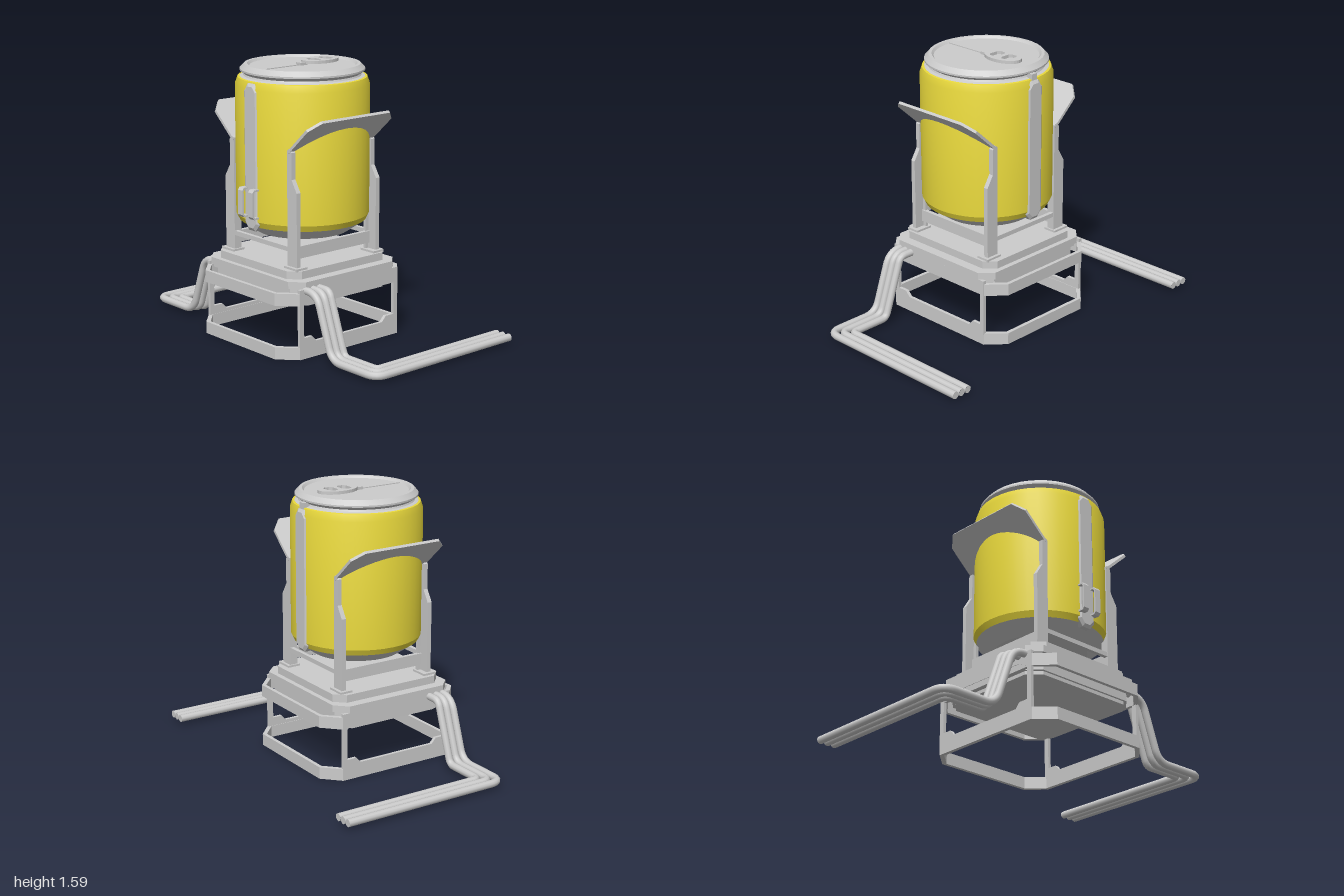
import * as THREE from 'three';
import { toCreasedNormals } from 'three/addons/utils/BufferGeometryUtils.js';

const grey = new THREE.MeshStandardMaterial({ color: 0xcccccc });
const yellow = new THREE.MeshStandardMaterial({ color: 0xe8d83c });
const V = (x, y, z) => new THREE.Vector3(x, y, z);

function add(parent, name, geometry, material = grey) {
  const mesh = new THREE.Mesh(geometry, material);
  mesh.name = name;
  parent.add(mesh);
  return mesh;
}

function box(parent, name, x0, x1, y0, y1, z0, z1) {
  const m = add(parent, name, new THREE.BoxGeometry(x1 - x0, y1 - y0, z1 - z0));
  m.position.set((x0 + x1) / 2, (y0 + y1) / 2, (z0 + z1) / 2);
  return m;
}

const shapeOf = (pts) => new THREE.Shape(pts.map(([x, y]) => new THREE.Vector2(x, y)));

// Rectangle with chamfered corners, half sizes a and b
const octagon = (a, b, ca, cb) => [
  [-a, -b + cb], [-a + ca, -b], [a - ca, -b], [a, -b + cb],
  [a, b - cb], [a - ca, b], [-a + ca, b], [-a, b - cb]];

const extrude = (shape, depth, options = {}) =>
  new THREE.ExtrudeGeometry(shape, { depth, bevelEnabled: false, curveSegments: 16, ...options });

// Horizontal slab from an outline in x and z, with an optional opening
function slab(parent, name, y0, y1, outline, hole) {
  const shape = shapeOf(outline);
  if (hole) shape.holes.push(shapeOf(hole));
  const g = extrude(shape, y1 - y0).rotateX(-Math.PI / 2).translate(0, y0, 0);
  return add(parent, name, g);
}

function lathe(parent, name, pts, material) {
  const g = new THREE.LatheGeometry(pts.map(([r, y]) => new THREE.Vector2(r, y)), 40);
  return add(parent, name, toCreasedNormals(g, 0.4), material);
}

// Path through points with rounded corners
function roundedPath(pts, radius) {
  const path = new THREE.CurvePath();
  let from = pts[0];
  for (let i = 1; i < pts.length - 1; i++) {
    const p = pts[i];
    const a = p.clone().add(pts[i - 1].clone().sub(p).setLength(radius));
    const b = p.clone().add(pts[i + 1].clone().sub(p).setLength(radius));
    path.add(new THREE.LineCurve3(from, a));
    path.add(new THREE.QuadraticBezierCurve3(a, p, b));
    from = b;
  }
  path.add(new THREE.LineCurve3(from, pts[pts.length - 1]));
  return path;
}

function buildCan() {
  const can = new THREE.Group();
  can.name = 'can';
  lathe(can, 'canBody', [[0.365, 0.685], [0.382, 0.72], [0.382, 1.465], [0.368, 1.505], [0.34, 1.51]], yellow);
  lathe(can, 'canBottom', [[0, 0.62], [0.27, 0.62], [0.366, 0.687]]);
  lathe(can, 'lid', [[0.365, 1.505], [0.335, 1.512], [0.33, 1.522], [0.355, 1.54], [0.355, 1.55],
    [0.33, 1.577], [0.312, 1.577], [0.3, 1.564], [0, 1.564]]);
  box(can, 'lidSeam', -0.3, 0.2, 1.562, 1.569, -0.005, 0.005);

  // Pull tab
  const ring = new THREE.Shape();
  ring.absellipse(0.125, 0, 0.125, 0.08, 0, Math.PI * 2);
  for (const [x0, x1] of [[0.05, 0.11], [0.14, 0.2]]) {
    ring.holes.push(shapeOf(octagon((x1 - x0) / 2, 0.045, 0.015, 0.015).map(([x, y]) => [x + (x0 + x1) / 2, y])));
  }
  add(can, 'pullTab', extrude(ring, 0.018).rotateX(-Math.PI / 2).translate(0.005, 1.57, 0));
  box(can, 'tabRivet', -0.03, 0.02, 1.562, 1.58, -0.02, 0.02);

  // Side strips
  for (const s of [-1, 1]) {
    const strip = extrude(shapeOf(octagon(0.045, 0.4, 0.025, 0.03)), 0.03,
      { bevelEnabled: true, bevelSize: 0.018, bevelThickness: 0.012, bevelSegments: 1 });
    const m = add(can, 'sideStrip', strip);
    m.rotation.y = s * Math.PI / 2;
    m.position.set(s * 0.342, 1.08, 0);
  }
  box(can, 'stripClip', 0.33, 0.372, 1.49, 1.535, -0.02, 0.02);

  // Pair of bracket handles
  const bracket = shapeOf([[0.05, 0], [0.012, 0], [0, 0.015], [0, 0.155], [0.012, 0.17], [0.05, 0.17],
    [0.05, 0.16], [0.017, 0.16], [0.01, 0.15], [0.01, 0.02], [0.017, 0.01], [0.05, 0.01]]);
  for (const z of [-0.065, 0.025]) {
    add(can, 'sideHandle', extrude(bracket, 0.04)).position.set(-0.422, 0.74, z);
  }
  return can;
}

// One clamp: two uprights, a cross bar and a flared arched guard
function buildClamp() {
  const clamp = new THREE.Group();
  clamp.name = 'clamp';
  for (const s of [-1, 1]) {
    // Wide lower section narrowing to a slim upper section
    const upright = shapeOf([[0.235, 0.47], [0.315, 0.47], [0.315, 0.92], [0.272, 0.99], [0.272, 1.14], [0.25, 1.16], [0.235, 1.15]]);
    const g = extrude(upright, 0.028).rotateY(-Math.PI / 2);
    add(clamp, 'upright', g).position.x = s * 0.297 + 0.014;
    const flange = shapeOf([[0.262, 0.47], [0.3, 0.47], [0.3, 0.99], [0.28, 0.99], [0.262, 0.92]].map(([x, y]) => [s * x, y]));
    add(clamp, 'uprightFlange', extrude(flange, 0.018)).position.z = 0.236;
    box(clamp, 'uprightFoot', s * 0.29 - 0.04, s * 0.29 + 0.04, 0.48, 0.497, 0.225, 0.335);
  }
  box(clamp, 'crossBar', -0.29, 0.29, 0.53, 0.6, 0.24, 0.265);

  const guard = new THREE.Shape();
  guard.moveTo(-0.312, -0.01);
  guard.lineTo(-0.285, -0.01);
  guard.bezierCurveTo(-0.25, 0.075, -0.12, 0.168, 0, 0.168);
  guard.bezierCurveTo(0.12, 0.168, 0.25, 0.075, 0.285, -0.01);
  guard.lineTo(0.312, -0.01);
  guard.lineTo(0.312, 0.205);
  guard.lineTo(0.25, 0.276);
  guard.lineTo(-0.25, 0.276);
  guard.lineTo(-0.312, 0.205);
  const m = add(clamp, 'archGuard', extrude(guard, 0.016));
  m.position.set(0, 1.15, 0.244);
  m.rotation.x = 0.837;
  return clamp;
}

// One arm: three parallel pipes stepping down to the ground and turning sideways
function buildArm(side) {
  const arm = new THREE.Group();
  arm.name = 'pipeArm';
  for (const k of [-1, 0, 1]) {
    const x = -0.275 + k * 0.046, z = 0.931 - k * 0.046, end = 0.715;
    const path = roundedPath([V(x, 0.39, side * 0.36), V(x, 0.39, side * 0.5), V(x, 0.038, side * 0.625),
      V(x, 0.038, side * z), V(end, 0.038, side * z)], 0.055 - k * 0.02);
    add(arm, 'pipe', new THREE.TubeGeometry(path, 110, 0.022, 10));
    const cap = add(arm, 'pipeEnd', new THREE.CircleGeometry(0.022, 10));
    cap.position.set(end, 0.038, side * z);
    cap.rotation.y = Math.PI / 2;
  }
  return arm;
}

function buildBase() {
  const base = new THREE.Group();
  base.name = 'base';
  slab(base, 'topPlate', 0.43, 0.485, octagon(0.365, 0.355, 0.06, 0.06));
  slab(base, 'mainPlate', 0.4, 0.44, octagon(0.395, 0.415, 0.07, 0.07));
  slab(base, 'underPlate', 0.38, 0.4, octagon(0.38, 0.41, 0.07, 0.07));
  slab(base, 'bodyBlock', 0.31, 0.38, octagon(0.368, 0.392, 0.07, 0.07));
  slab(base, 'bottomPlate', 0.29, 0.31, octagon(0.355, 0.38, 0.07, 0.07));

  // Octagonal hoops around the body and on the ground
  const outer = octagon(0.465, 0.412, 0.095, 0.1);
  const inner = octagon(0.443, 0.392, 0.088, 0.093);
  slab(base, 'upperHoop', 0.31, 0.38, outer, inner);
  slab(base, 'groundHoop', 0, 0.07, outer, inner);

  // Front and back window panels
  const panel = shapeOf([[-0.37, 0], [0.37, 0], [0.37, 0.4], [-0.37, 0.4]]);
  panel.holes.push(shapeOf([[-0.34, 0.315], [-0.27, 0.345], [0.27, 0.345], [0.34, 0.315], [0.34, 0.122],
    [0.28, 0.122], [0.25, 0.09], [-0.25, 0.09], [-0.28, 0.122], [-0.34, 0.122]]));
  for (const z of [-0.415, 0.395]) add(base, 'windowPanel', extrude(panel, 0.02)).position.z = z;

  for (const s of [-1, 1]) box(base, 'sideBar', s * 0.297 - 0.012, s * 0.297 + 0.012, 0.578, 0.604, -0.25, 0.25);
  return base;
}

export function createModel() {
  const model = new THREE.Group();
  model.name = 'canStove';
  const body = new THREE.Group();
  body.name = 'assembly';
  body.position.set(-0.13, 0, 0.003);
  body.rotation.y = 0.015;
  model.add(body);

  const can = buildCan();
  can.position.z = 0.008;
  body.add(can, buildBase(), buildArm(1), buildArm(-1));
  for (const angle of [0, Math.PI]) {
    const clamp = buildClamp();
    clamp.rotation.y = angle;
    clamp.position.z = 0.005;
    body.add(clamp);
  }
  return model;
}
